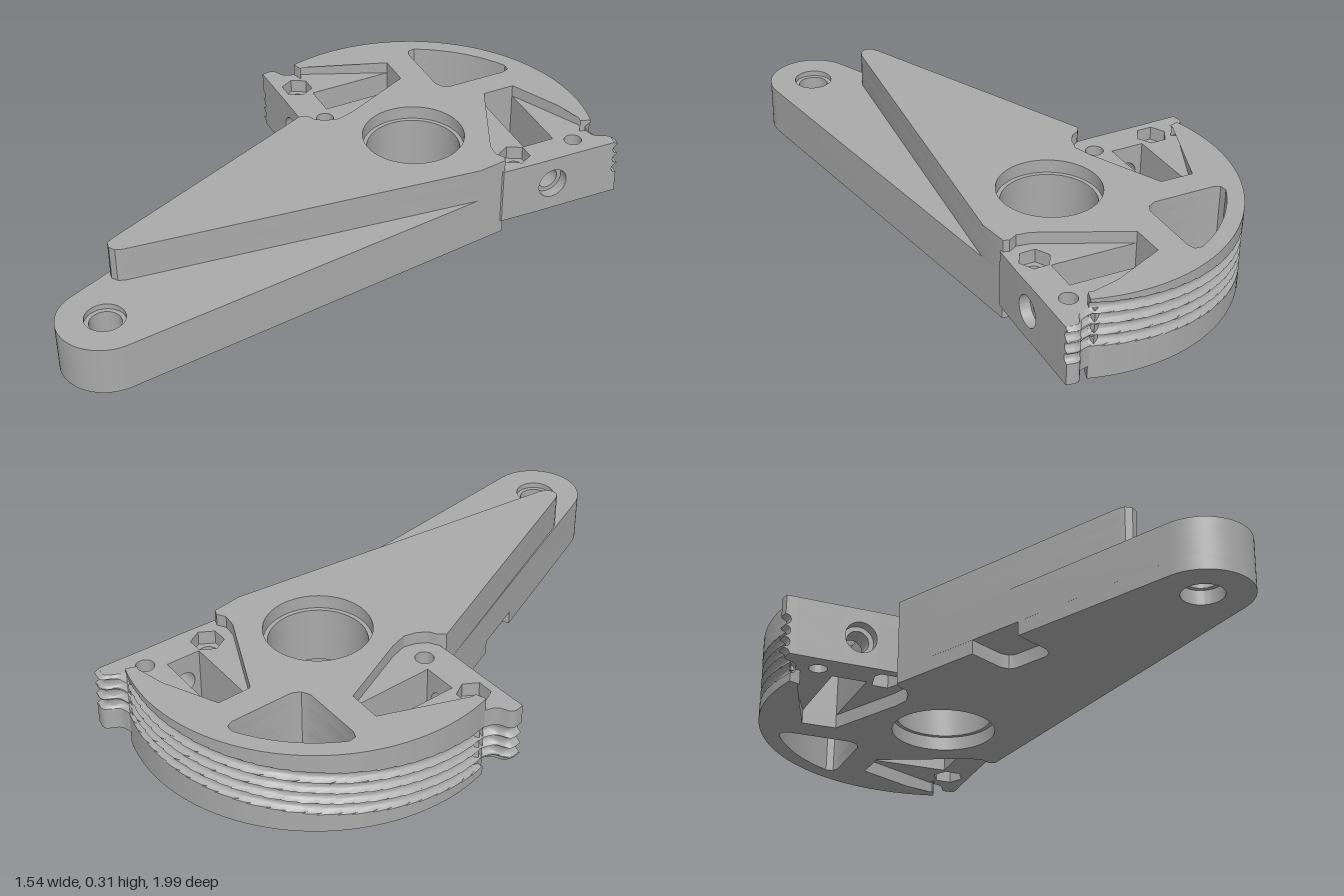
import * as THREE from 'three';
import { toCreasedNormals } from 'three/addons/utils/BufferGeometryUtils.js';

const CX = 0.07, CZ = -0.34;            // pivot axis of the rounded head
const RIM = 0.66, RIM_END = 0.484;      // rim radius and angle where it stops
const metal = new THREE.MeshStandardMaterial({ color: 0xaaaaaa });
metal.name = 'grey metal';

// Points are [x, z]; the angle runs from +x towards the back
function arc(cx, cz, r, a0, a1, n = 32) {
  return Array.from({ length: n + 1 }, (_, i) => {
    const a = a0 + (a1 - a0) * i / n;
    return [cx + r * Math.cos(a), cz - r * Math.sin(a)];
  });
}
const circle = (x, z, r) => arc(x, z, r, 0, Math.PI * 2, 48).slice(0, -1);
const hex = (x, z) => arc(x, z, 0.057, Math.PI / 12, Math.PI * 25 / 12, 6).slice(0, -1);

function addMesh(group, name, geometry) {
  const mesh = new THREE.Mesh(geometry, metal);
  mesh.name = name;
  group.add(mesh);
  return mesh;
}

// Flat plate between two heights
function slab(group, name, outline, holes, y0, y1) {
  const vec = pts => pts.map(([x, z]) => new THREE.Vector2(x, -z));
  const shape = new THREE.Shape(vec(outline));
  shape.holes = holes.map(h => new THREE.Path(vec(h)));
  const g = new THREE.ExtrudeGeometry(shape, { depth: y1 - y0, bevelEnabled: false });
  g.rotateX(-Math.PI / 2).translate(0, y0, 0);
  return addMesh(group, name, toCreasedNormals(g, 0.5));
}

// Upright band whose outer face carries four cable grooves
function groovedBand(group, name, path, y0, y1, rows) {
  const pos = [];
  const quad = (a, b, c, d) => pos.push(...a, ...b, ...c, ...a, ...c, ...d);
  const depth = (y, shift) => {
    let d = 0;
    for (let k = 0; k < 4; k++) {
      const t = (y - 0.163 - shift - (k - 1.5) * 0.042) / 0.019;
      if (Math.abs(t) < 1) d = 0.02 * Math.sqrt(1 - t * t);
    }
    return d;
  };
  const level = j => y0 + (y1 - y0) * j / rows;
  const at = (p, j, d) => [p.x - p.nx * d, level(j), p.z - p.nz * d];
  const O = path.map(p => Array.from({ length: rows + 1 }, (_, j) => at(p, j, depth(level(j), p.shift))));
  const I = path.map(p => Array.from({ length: rows + 1 }, (_, j) => at(p, j, 0.04)));
  const n = path.length - 1;
  for (let i = 0; i < n; i++) {
    for (let j = 0; j < rows; j++) quad(O[i][j], O[i + 1][j], O[i + 1][j + 1], O[i][j + 1]);
    quad(O[i][rows], O[i + 1][rows], I[i + 1][rows], I[i][rows]);
    quad(I[i][0], I[i + 1][0], O[i + 1][0], O[i][0]);
  }
  for (let j = 0; j < rows; j++) {
    quad(I[0][j], O[0][j], O[0][j + 1], I[0][j + 1]);
    quad(O[n][j], I[n][j], I[n][j + 1], O[n][j + 1]);
  }
  const g = new THREE.BufferGeometry();
  g.setAttribute('position', new THREE.Float32BufferAttribute(pos, 3));
  return addMesh(group, name, toCreasedNormals(g, 0.5));
}

function buildBody(group) {
  // Outline pieces shared by the low arm and the tall upper body
  const headLeft = [
    ...arc(CX, CZ, 0.63, RIM_END, Math.PI - RIM_END, 48),
    [-0.51, -0.65], [-0.18, -0.78], [-0.095, -0.69], [-0.19, -0.41], [-0.22, -0.35],
    [-0.26, -0.325], [-0.30, -0.315], [-0.33, -0.325], [-0.36, -0.32]];
  const headRight = [[0.43, -0.29], [0.42, -0.31], [0.385, -0.32], [0.355, -0.36],
    [0.235, -0.69], [0.32, -0.78], [0.65, -0.65]];
  const armEnd = arc(-0.605, 0.83, 0.165, -3.486, -0.639);
  const notch = [[-0.48, 0.01], [-0.35, 0.057], [-0.328, 0.078], [-0.325, 0.10],
    [-0.372, 0.225], [-0.39, 0.245], [-0.42, 0.247], [-0.55, 0.20]];
  const upperEnd = [[-0.687, 0.59], [-0.69, 0.615], [-0.675, 0.635], [-0.65, 0.64],
    [-0.625, 0.628], [0.365, -0.20]];
  const low = [...headLeft, ...armEnd, ...headRight];
  const lowNotched = [...headLeft, ...notch, ...armEnd, ...headRight];
  const tall = [...headLeft, ...upperEnd, ...headRight];

  const window = [...arc(CX, CZ, 0.6, 1.26, Math.PI - 1.26, 16),
    [-0.13, -0.89], [-0.12, -0.865], [0.04, -0.70], [0.07, -0.69],
    [0.10, -0.70], [0.26, -0.865], [0.27, -0.89]];
  const bore = r => circle(CX, CZ, r), eye = r => circle(-0.605, 0.83, r);

  slab(group, 'armBase', lowNotched, [window, bore(0.185), eye(0.07)], 0, 0.05);
  slab(group, 'armMiddle', low, [window, bore(0.17), eye(0.055)], 0.05, 0.16);
  slab(group, 'armTop', low, [window, bore(0.17), eye(0.07)], 0.16, 0.18);
  slab(group, 'upperBody', tall, [window, bore(0.17)], 0.18, 0.26);
  slab(group, 'upperBodyTop', tall, [window, bore(0.185)], 0.26, 0.31);

  // Grooves climb like a screw thread around the rim
  const rimPath = arc(CX, CZ, RIM, RIM_END, Math.PI - RIM_END, 64).map(([x, z], i) => ({
    x, z, nx: (x - CX) / RIM, nz: (z - CZ) / RIM, shift: 0.05 - 0.1 * i / 64 }));
  groovedBand(group, 'groovedRim', rimPath, 0, 0.31, 80);
}

// Clamp ear beside the head; side is 1 on the left, -1 on the right
function buildEar(side) {
  const ear = new THREE.Group();
  ear.name = side > 0 ? 'leftEar' : 'rightEar';
  const q = Math.SQRT1_2, Y0 = 0.05, Y1 = 0.265;
  const mir = ([x, z]) => [CX + side * (x - CX), z];
  // s runs along the outer face, d inwards from it
  const local = (s, d) => [0.578 + q * (s - d), -0.422 - q * (s + d)];
  const flare = new THREE.CatmullRomCurve3(
    [[0.77, -0.61], [0.742, -0.643], [0.69, -0.632], [0.648, -0.653]]
      .map(([x, z]) => new THREE.Vector3(x, 0, z))).getPoints(14);

  const outer = [local(0.062, 0), ...flare.map(p => [p.x - 0.03 * q, p.z + 0.03 * q]),
    [0.64, -0.66], [0.32, -0.78], local(0.062, 0.117)].map(mir);
  const inner = [[0.235, -0.69], local(-0.062, 0.117), local(-0.062, 0),
    [0.43, -0.28], [0.3, -0.3]].map(mir);
  const outerPin = mir([0.61, -0.565]), innerPin = mir([0.435, -0.40]);

  // Nut pockets: opposite faces on the two screws
  for (const [y0, y1, where] of [[Y0, 0.1, -1], [0.1, 0.215, 0], [0.215, Y1, 1]]) {
    const hole = (p, nutSide) => where === nutSide ? hex(...p) : circle(...p, 0.032);
    slab(ear, 'earOuterCheek', outer, [hole(outerPin, -side)], y0, y1);
    slab(ear, 'earInnerCheek', inner, [hole(innerPin, side)], y0, y1);
  }

  // Cross wall with the stepped bolt hole
  for (const [d0, d1, r] of [[0, 0.04, 0.057], [0.04, 0.117, 0.04]]) {
    const shape = new THREE.Shape([[-1, Y0], [1, Y0], [1, Y1], [-1, Y1]]
      .map(([x, y]) => new THREE.Vector2(x * 0.062, y)));
    shape.holes.push(new THREE.Path().absarc(0, 0.158, r, 0, Math.PI * 2, true));
    const g = new THREE.ExtrudeGeometry(shape, { depth: d1 - d0, bevelEnabled: false, curveSegments: 32 });
    const wall = addMesh(ear, 'boltWall', toCreasedNormals(g, 0.5));
    const [x, z] = mir(local(0, d1));
    wall.position.set(x, 0, z);
    wall.rotation.y = side * Math.PI / 4;
  }

  // Flared edge that leads the cable onto the rim
  const path = flare.map(p => {
    const [x, z] = mir([p.x, p.z]);
    return { x, z, nx: side * q, nz: -q, shift: side * 0.05 };
  });
  if (side < 0) path.reverse();
  groovedBand(ear, 'groovedFlare', path, Y0, Y1, 56);
  return ear;
}

export function createModel() {
  const model = new THREE.Group();
  model.name = 'leverArm';
  const body = new THREE.Group();
  body.name = 'body';
  buildBody(body);
  model.add(body, buildEar(1), buildEar(-1));
  return model;
}
